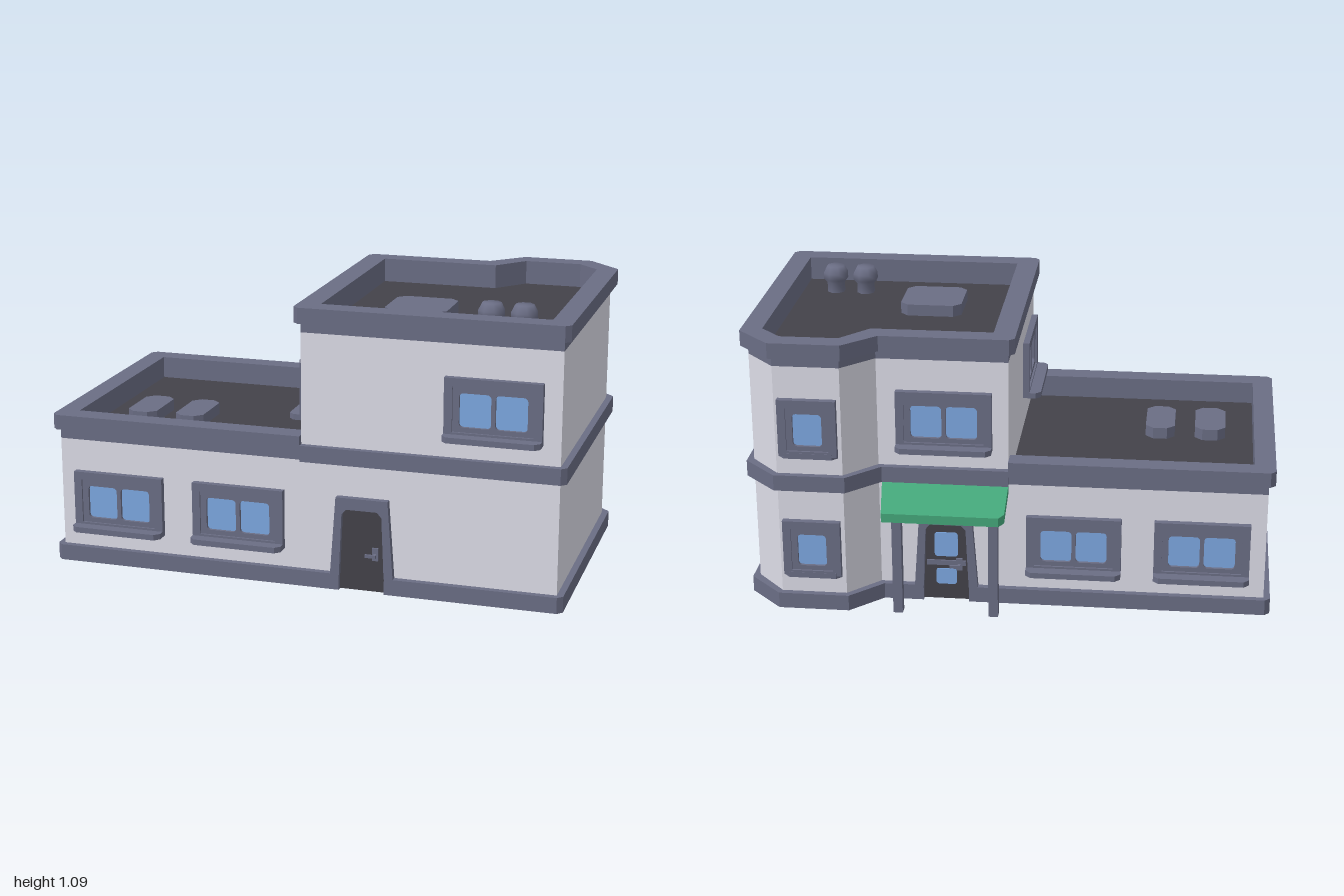
import * as THREE from 'three';

const mat = (name, color) => {
  const m = new THREE.MeshStandardMaterial({ color });
  m.name = name;
  return m;
};

export function createModel() {
  const wall = mat('pale wall', 0xdbdbe6);
  const trim = mat('slate trim', 0x6a6d84);
  const dark = mat('dark roof', 0x434249);
  const glass = mat('blue glass', 0x7ca7e0);
  const green = mat('green canopy', 0x44a67a);
  const model = new THREE.Group();
  model.name = 'house';

  const add = (parent, name, geo, material, x = 0, y = 0, z = 0) => {
    const m = new THREE.Mesh(geo, material);
    m.name = name;
    m.position.set(x, y, z);
    parent.add(m);
    return m;
  };
  const box = (w, h, d) => new THREE.BoxGeometry(w, h, d);
  const poly = (pts) => new THREE.Shape(pts.map(([x, y]) => new THREE.Vector2(x, y)));
  const extrude = (shape, depth) =>
    new THREE.ExtrudeGeometry(shape, { depth, bevelEnabled: false, curveSegments: 3 });
  // horizontal slab from a plan outline of [x, z] points
  const slab = (pts, y0, y1, hole) => {
    const flip = (p) => p.map(([x, z]) => [x, -z]);
    const s = poly(flip(pts));
    if (hole) s.holes.push(poly(flip(hole)));
    return extrude(s, y1 - y0).rotateX(-Math.PI / 2).translate(0, y0, 0);
  };
  // rectangle with cut corners, as [x, z] points
  const cutRect = (x0, x1, z0, z1, c) => [
    [x0 + c, z1], [x1 - c, z1], [x1, z1 - c], [x1, z0 + c],
    [x1 - c, z0], [x0 + c, z0], [x0, z0 + c], [x0, z1 - c]];
  const roundRect = (cx, cy, w, h, r) => {
    const s = new THREE.Shape();
    const x = w / 2 - r, y = h / 2 - r;
    s.absarc(cx + x, cy + y, r, 0, Math.PI / 2);
    s.absarc(cx - x, cy + y, r, Math.PI / 2, Math.PI);
    s.absarc(cx - x, cy - y, r, Math.PI, Math.PI * 1.5);
    s.absarc(cx + x, cy - y, r, Math.PI * 1.5, Math.PI * 2);
    return s;
  };

  // plan outlines
  const bayWall = [[0.975, 0.54], [0.975, -0.43], [0.86, -0.555], [0.61, -0.555], [0.495, -0.435]];
  const bayTrim = [[0.98, 0.565], [1, 0.545], [1, -0.45], [0.87, -0.58], [0.6, -0.58], [0.48, -0.46]];
  const groundWall = [[-0.975, 0.54], ...bayWall, [-0.975, -0.435]];
  const upperWall = [[0, 0.54], ...bayWall, [0, -0.435]];
  const westEnd = [[-0.98, -0.46], [-1, -0.44], [-1, 0.545], [-0.98, 0.565]];
  // base trim is notched at both doorways
  const base = [...westEnd, [0.152, 0.565], [0.152, 0.53], [0.328, 0.53], [0.328, 0.565],
    ...bayTrim, [0.328, -0.46], [0.328, -0.425], [0.152, -0.425], [0.152, -0.46]];
  const roofInner = [[0.06, 0.48], [0.92, 0.48], [0.92, -0.42], [0.84, -0.5],
    [0.62, -0.5], [0.52, -0.38], [0.06, -0.38]];
  const lowInner = [[0, -0.38], [-0.92, -0.38], [-0.92, 0.48], [0, 0.48]];

  // ground storey
  add(model, 'baseTrim', slab(base, 0, 0.062), trim);
  add(model, 'groundWalls', slab(groundWall, 0.04, 0.49), wall);
  add(model, 'middleBand', slab([[0, 0.565], ...bayTrim, [0, -0.46]], 0.49, 0.552), trim);
  add(model, 'lowRoof', slab(lowInner, 0.47, 0.5), dark);
  add(model, 'lowParapetBase', slab([[0, 0.54], [-0.975, 0.54], [-0.975, -0.435], [0, -0.435], ...lowInner],
    0.49, 0.53), trim);
  add(model, 'lowParapet', slab([[0, 0.565], ...westEnd.slice().reverse(), [0, -0.46], ...lowInner],
    0.53, 0.588), trim);

  // upper storey
  add(model, 'upperWalls', slab(upperWall, 0.49, 0.978), wall);
  add(model, 'highRoof', slab(roofInner, 0.97, 0.982), dark);
  add(model, 'highParapetBase', slab(upperWall, 0.978, 1.015, roofInner), trim);
  const cap = [[-0.005, 0.565], ...bayTrim, [-0.005, -0.46], [-0.025, -0.44], [-0.025, 0.545]];
  add(model, 'highParapet', slab(cap, 1.015, 1.075, roofInner), trim);

  // windows, built facing +z with the origin at bottom centre of the wall face
  const addWindow = (name, x, y, z, turn, { w = 0.362, panes = 2, sill = 0.07 } = {}) => {
    const g = new THREE.Group();
    g.name = name;
    g.position.set(x, y, z);
    g.rotation.y = turn;
    model.add(g);
    const h = 0.232, m = 0.031;
    const rect = (a, b, c, d) => [[a, b], [c, b], [c, d], [a, d]];
    const inner = rect(-w / 2 + m, 0.03, w / 2 - m, h - m);
    const frame = poly(rect(-w / 2, 0.01, w / 2, h));
    frame.holes.push(poly(inner));
    add(g, 'frame', extrude(frame, 0.025), trim);
    // sash with openings over recessed panes
    const sash = poly(inner);
    const pw = panes === 2 ? 0.118 : 0.11;
    for (let i = 0; i < panes; i++) {
      const px = (i - (panes - 1) / 2) * 0.134;
      sash.holes.push(roundRect(px, 0.112, pw, 0.128, 0.015));
      add(g, 'pane', box(pw, 0.128, 0.004), glass, px, 0.112, 0.003);
    }
    add(g, 'sash', extrude(sash, 0.017), trim);
    const c = Math.min(0.02, sill - 0.005);
    add(g, 'sill', slab([[-w / 2, 0], [-w / 2, sill - c], [-w / 2 + c, sill], [w / 2 - c, sill],
      [w / 2, sill - c], [w / 2, 0]], 0, 0.022), trim);
  };
  for (const x of [-0.735, -0.249]) {
    addWindow('frontWindow', x, 0.135, 0.54, 0);
    addWindow('backWindow', x, 0.135, -0.435, Math.PI);
  }
  addWindow('upperFrontWindow', 0.728, 0.625, 0.54, 0);
  addWindow('upperBackWindow', 0.242, 0.625, -0.435, Math.PI);
  addWindow('upperSideWindow', 0, 0.625, 0.3, -Math.PI / 2);
  for (const y of [0.132, 0.622]) {
    addWindow('bayWindow', 0.735, y, -0.555, Math.PI, { w: 0.22, panes: 1, sill: 0.026 });
  }

  // doors with tapering surrounds
  const addDoor = (name, z, turn, glazed) => {
    const g = new THREE.Group();
    g.name = name;
    g.position.set(0.24, 0, z);
    g.rotation.y = turn;
    model.add(g);
    const surround = poly([[-0.122, 0.06], [-0.087, 0.06], [-0.077, 0.3], [-0.06, 0.32],
      [0.06, 0.32], [0.077, 0.3], [0.087, 0.06], [0.122, 0.06], [0.1, 0.365], [-0.1, 0.365]]);
    add(g, 'surround', extrude(surround, 0.025), trim);
    add(g, 'doorLeaf', box(0.176, 0.33, 0.012), dark, 0, 0.166, 0);
    if (glazed) {
      add(g, 'upperPane', extrude(roundRect(0, 0.232, 0.09, 0.1, 0.012), 0.004), glass, 0, 0, 0.006);
      add(g, 'lowerPane', extrude(roundRect(0, 0.097, 0.08, 0.065, 0.012), 0.004), glass, 0, 0, 0.006);
      add(g, 'doorRail', box(0.15, 0.02, 0.008), trim, 0, 0.155, 0.008);
    }
    add(g, 'handlePlate', box(0.024, 0.05, 0.008), trim, 0.05, 0.15, 0.009);
    add(g, 'handleStem', box(0.01, 0.01, 0.024), trim, 0.05, 0.148, 0.02);
    add(g, 'handle', box(0.042, 0.012, 0.008), trim, 0.036, 0.148, 0.03);
  };
  addDoor('frontDoor', 0.54, 0, false);
  addDoor('backDoor', -0.435, Math.PI, true);

  // sloping canopy on two posts
  const canopy = slab([[0, -0.435], [0, -0.595], [0.02, -0.615], [0.46, -0.615], [0.483, -0.435]], 0.45, 0.485);
  const p = canopy.attributes.position;
  for (let i = 0; i < p.count; i++) p.setY(i, p.getY(i) + (p.getZ(i) + 0.46) * 0.36);
  canopy.computeVertexNormals();
  add(model, 'canopy', canopy, green);
  for (const x of [0.045, 0.41]) add(model, 'canopyPost', box(0.036, 0.425, 0.036), trim, x, 0.2125, -0.56);

  // roof hatches and vents
  const hatch = (x0, x1, y) =>
    add(model, 'roofHatch', slab(cutRect(x0, x1, 0.052, 0.29, 0.03), y, y + 0.045), trim);
  hatch(-0.81, -0.69, 0.5);
  hatch(-0.61, -0.495, 0.5);
  hatch(0.24, 0.48, 0.982);
  const profile = [[0.036, 0], [0.036, 0.04], [0.05, 0.055], [0.05, 0.08], [0.036, 0.108], [0, 0.108]]
    .map(([r, y]) => new THREE.Vector2(r, y));
  const vent = new THREE.LatheGeometry(profile, 8, Math.PI / 8);
  for (const x of [0.665, 0.787]) add(model, 'roofVent', vent, trim, x, 0.982, 0.335);

  return model;
}
